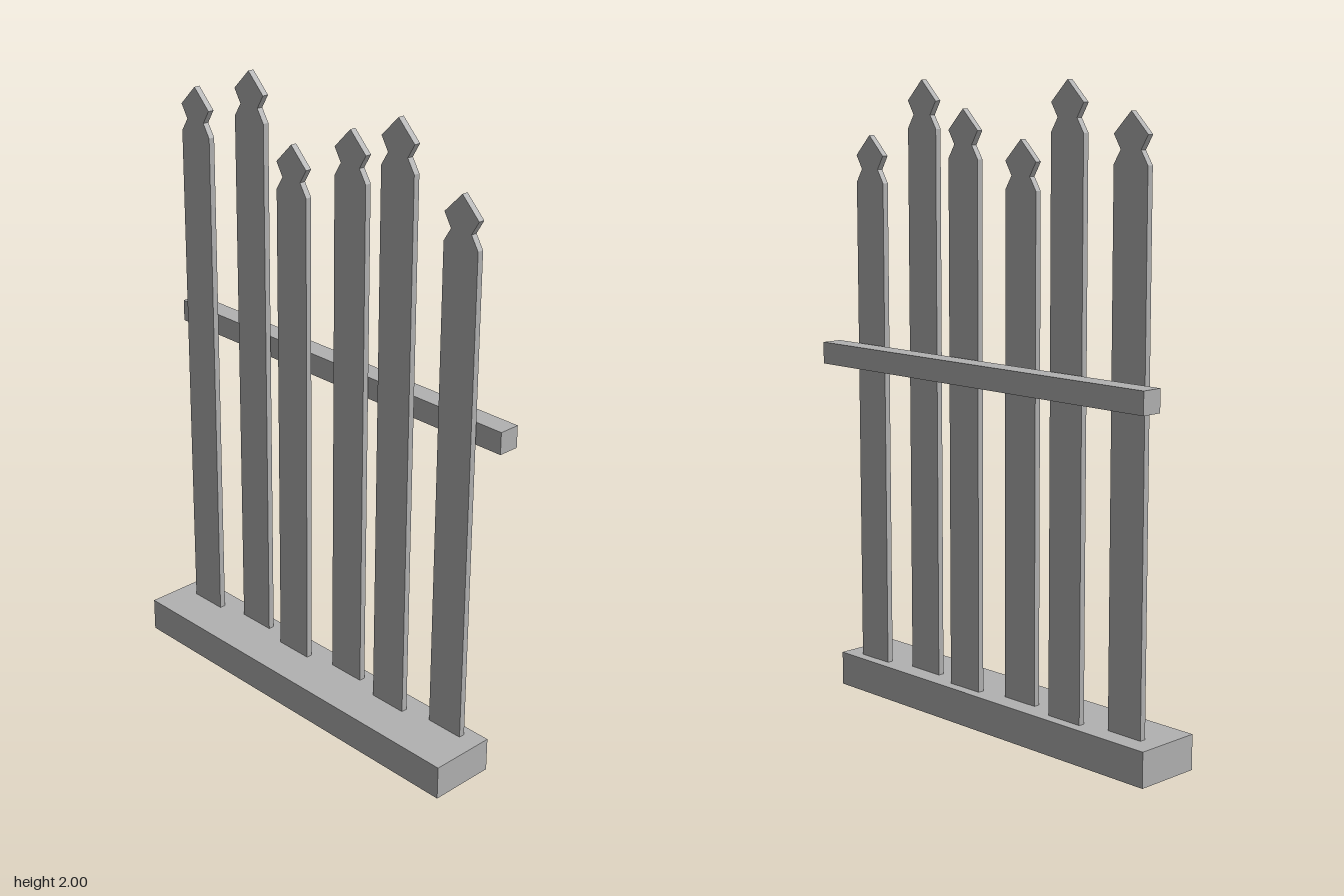
import * as THREE from 'three';

const grey = new THREE.MeshStandardMaterial({ color: 0xb2b2b2 });
grey.name = 'plain grey';

const BASE_TOP = 0.11;
const HALF = 0.064; // half width of a picket

// Box given by its lower and upper y and its back and front z
function bar(name, width, y0, y1, z0, z1) {
  const mesh = new THREE.Mesh(new THREE.BoxGeometry(width, y1 - y0, z1 - z0), grey);
  mesh.name = name;
  mesh.position.set(0, (y0 + y1) / 2, (z0 + z1) / 2);
  return mesh;
}

// Flat board with a notched neck and a diamond-shaped head
function picket(x, top, zBack) {
  const right = [
    [HALF, BASE_TOP - 0.01],
    [HALF, top - 0.149],
    [0.038, top - 0.107],
    [HALF, top - 0.064],
  ];
  const left = right.map(([px, py]) => [-px, py]).reverse();
  const outline = [...right, [0, top], ...left].map(([px, py]) => new THREE.Vector2(px, py));
  const geometry = new THREE.ExtrudeGeometry(new THREE.Shape(outline), {
    depth: 0.02,
    bevelEnabled: false,
  });
  const mesh = new THREE.Mesh(geometry, grey);
  mesh.position.set(x, 0, zBack);
  return mesh;
}

export function createModel() {
  const model = new THREE.Group();
  model.name = 'picketFence';

  model.add(bar('base', 1.344, 0, BASE_TOP, -0.088, 0.13));
  model.add(bar('rail', 1.39, 1.09, 1.16, -0.13, -0.061));

  // Six pickets, staggered in depth and repeating three heights
  const tops = [1.914, 2.0, 1.827];
  for (let i = 0; i < 6; i++) {
    const board = picket((i - 2.5) * 0.217, tops[i % 3], i % 2 ? -0.054 : -0.025);
    board.name = `picket${i + 1}`;
    model.add(board);
  }
  return model;
}
